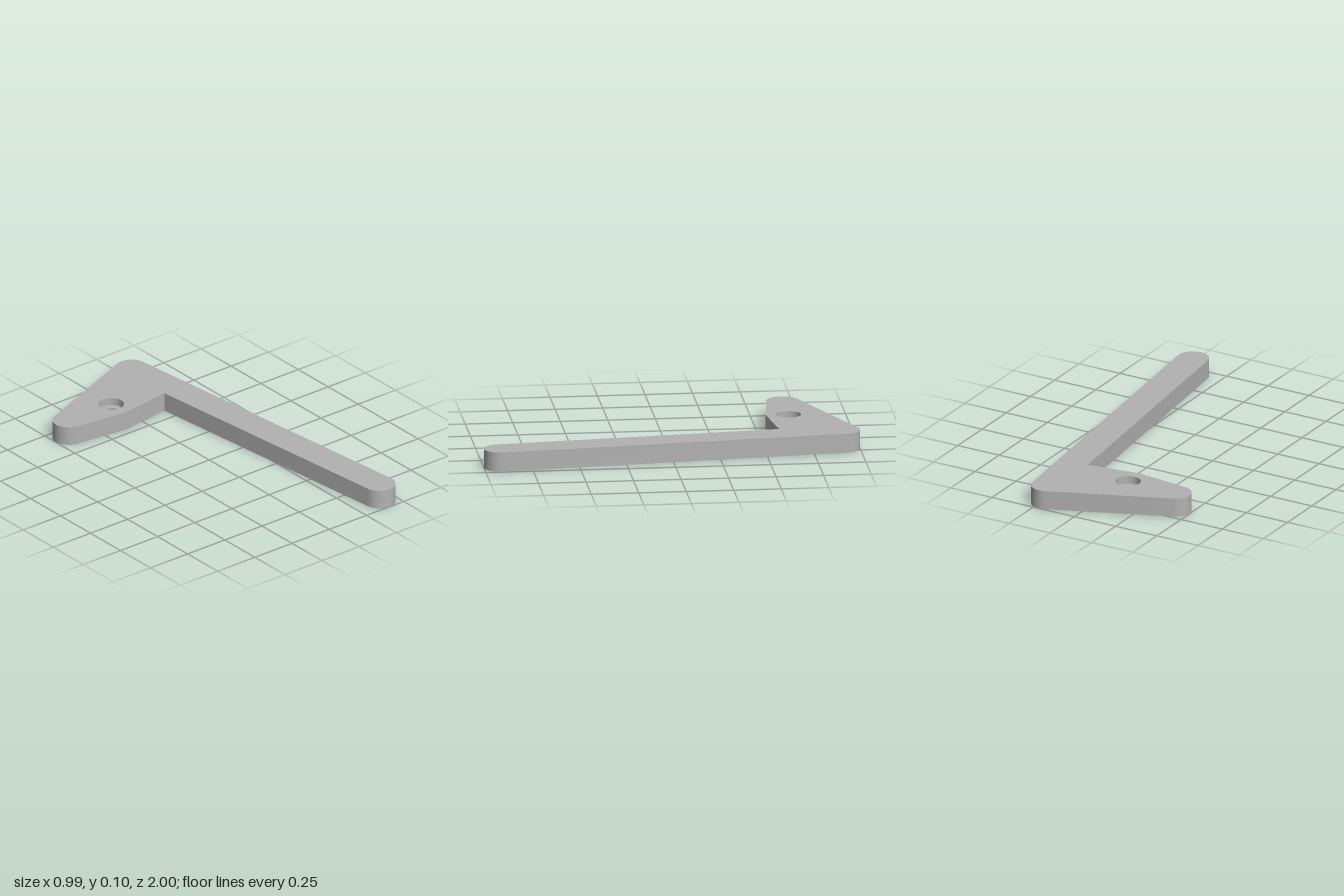
import * as THREE from 'three';
import { mergeGeometries, toCreasedNormals } from 'three/addons/utils/BufferGeometryUtils.js';

const HEIGHT = 0.103, WEB_TOP = 0.062, WEB_BOTTOM = 0.036;
const HOLE = [-0.127, 0.66]; // plan coordinates: x, -z

// Counter-clockwise arc in plan, angles in degrees
function arc(cx, cy, r, from, to, n = 20) {
  return Array.from({ length: n + 1 }, (_, i) => {
    const a = THREE.MathUtils.degToRad(from + (to - from) * i / n);
    return new THREE.Vector2(cx + r * Math.cos(a), cy + r * Math.sin(a));
  });
}
const circle = (r) => arc(...HOLE, r, 0, 360, 48).slice(0, -1);

// Flat face between an outline and its hole, facing up or down
function cap(outline, hole, y, up) {
  const shape = new THREE.Shape(outline);
  if (hole) shape.holes.push(new THREE.Path(hole));
  const g = new THREE.ShapeGeometry(shape);
  if (!up) g.setIndex(Array.from(g.index.array).reverse());
  g.rotateX(-Math.PI / 2).translate(0, y, 0);
  return g.toNonIndexed();
}

// Vertical wall around a closed ring; inward walls line a pocket
function wall(ring, y0, y1, inward) {
  const pts = inward ? [...ring].reverse() : ring;
  const pos = [], uv = [];
  pts.forEach((p, i) => {
    const q = pts[(i + 1) % pts.length];
    for (const [v, y] of [[p, y0], [q, y0], [q, y1], [p, y0], [q, y1], [p, y1]]) {
      pos.push(v.x, y, -v.y);
      uv.push(0, 0);
    }
  });
  const g = new THREE.BufferGeometry();
  g.setAttribute('position', new THREE.Float32BufferAttribute(pos, 3));
  g.setAttribute('uv', new THREE.Float32BufferAttribute(uv, 2));
  g.computeVertexNormals();
  return g;
}

export function createModel() {
  const model = new THREE.Group();
  const grey = new THREE.MeshStandardMaterial({ color: 0xb2b2b2 });
  grey.name = 'plain grey';

  const add = (name, ...parts) => {
    const mesh = new THREE.Mesh(toCreasedNormals(mergeGeometries(parts), 0.5), grey);
    mesh.name = name;
    model.add(mesh);
  };

  // Bent lever outline: short mounting arm, inner corner, long arm, outer corner
  const R = 0.085;
  const outline = [
    ...arc(-0.413, 0.66, R, 112.1, 263),
    new THREE.Vector2(-0.127, 0.54),
    new THREE.Vector2(0.165, 0.58),
    ...arc(0.405, -0.915, R, 185.9, 365.9),
    ...arc(0.215, 0.915, R, 5.9, 112.1),
  ];

  // Two-armed pocket outline: round hub with a tapered arm on each side
  const [hx, hy] = HOLE;
  const pocket = [
    ...arc(hx + 0.297, hy, 0.038, -87, 87),
    ...arc(hx, hy, 0.075, 42, 138),
    ...arc(hx - 0.297, hy, 0.038, 93, 267),
    ...arc(hx, hy, 0.075, 222, 318),
  ];
  const bore = circle(0.066), screwHole = circle(0.033);

  add('leverBody',
    wall(outline, 0, HEIGHT, false),
    cap(outline, bore, HEIGHT, true),
    cap(outline, pocket, 0, false));
  add('screwCounterbore',
    wall(bore, WEB_TOP, HEIGHT, true),
    cap(bore, screwHole, WEB_TOP, true));
  add('screwHole', wall(screwHole, WEB_BOTTOM, WEB_TOP, true));
  add('undersidePocket',
    wall(pocket, 0, WEB_BOTTOM, true),
    cap(pocket, screwHole, WEB_BOTTOM, false));
  return model;
}
